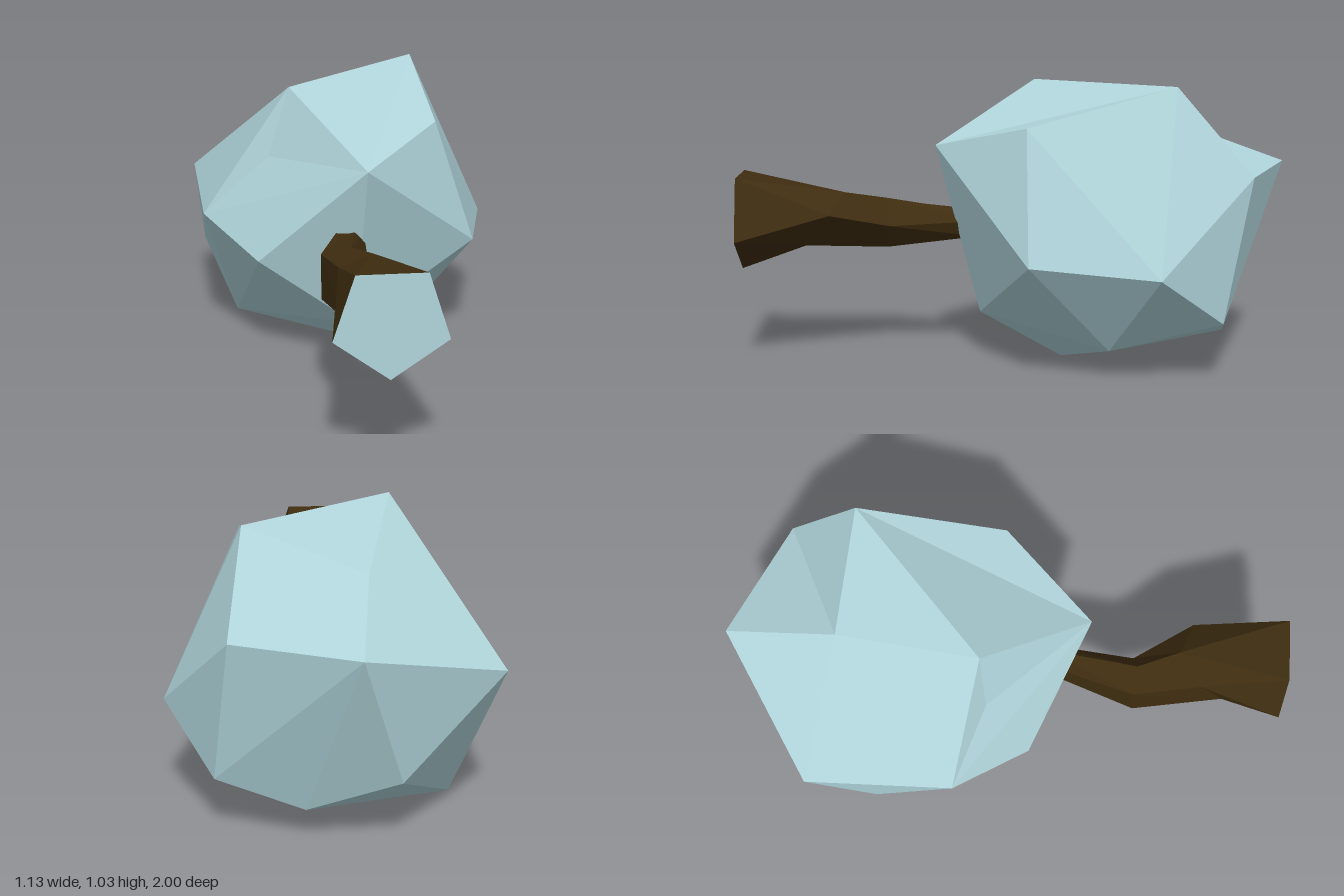
import * as THREE from 'three';
import { ConvexGeometry } from 'three/addons/geometries/ConvexGeometry.js';

const leaf = new THREE.MeshStandardMaterial({ color: 0xb0d5db });
leaf.name = 'paleBlueLeaf';
const bark = new THREE.MeshStandardMaterial({ color: 0x3f2d10 });
bark.name = 'darkBark';

// Corners of the faceted crown: x, y, z and, for dented corners, an outward push
// that is used only to find how the facets join
const crownCorners = [
  [0.025, 0.8, 0.29, 1.2], [-0.22, 1.02, -0.08], [0.29, 1.03, -0.55], [0.31, 0.89, -0.03],
  [0.46, 0.43, -0.03], [0.565, 0.405, -0.47], [0, 0.175, 0.13], [0, 0.004, -0.17],
  [0.32, 0.104, -0.32], [-0.415, 0.03, -0.43], [-0.35, 0.42, 0.1], [-0.54, 0.525, -0.16],
  [-0.568, 0.57, -0.68], [-0.535, 0.335, -0.445], [-0.082, 0.725, -1], [0.335, 0.72, -0.815],
  [0.39, 0.215, -0.71], [0.09, 0.12, -0.755], [-0.22, 0.25, -0.84], [-0.05, 0.013, -0.36],
  [-0.12, 0.873, -0.59, 1.8], [-0.3, 0.77, -0.055, 1.1],
];

function crownGeometry() {
  const centre = new THREE.Vector3(0, 0.55, -0.4);
  const corners = crownCorners.map(([x, y, z]) => new THREE.Vector3(x, y, z));
  const pushed = corners.map((p, i) =>
    p.clone().sub(centre).multiplyScalar(crownCorners[i][3] ?? 1).add(centre));
  const geometry = new ConvexGeometry(pushed);
  // Pull every pushed corner back to its true place
  const pos = geometry.attributes.position;
  const v = new THREE.Vector3();
  for (let i = 0; i < pos.count; i++) {
    v.fromBufferAttribute(pos, i);
    let best = 0;
    pushed.forEach((p, j) => {
      if (p.distanceToSquared(v) < pushed[best].distanceToSquared(v)) best = j;
    });
    pos.setXYZ(i, corners[best].x, corners[best].y, corners[best].z);
  }
  geometry.computeVertexNormals();
  return geometry;
}

// Five-sided trunk rings from the cut end back into the crown
const trunkRings = [
  [[-0.1, 0.695, 1], [0.125, 0.695, 1], [0.195, 0.475, 1], [0.01, 0.347, 1], [-0.17, 0.48, 1]],
  [[-0.12, 0.61, 0.7], [0, 0.625, 0.62], [0.135, 0.56, 0.67], [0.06, 0.44, 0.76], [-0.112, 0.47, 0.79]],
  [[-0.155, 0.57, 0.46], [-0.055, 0.595, 0.47], [0.01, 0.5, 0.46], [-0.06, 0.41, 0.47], [-0.155, 0.412, 0.47]],
  [[-0.06, 0.55, 0.14], [0, 0.55, 0.14], [0.03, 0.52, 0.14], [0.01, 0.46, 0.14], [-0.06, 0.47, 0.14]],
];

function facets(triangles) {
  const geometry = new THREE.BufferGeometry();
  geometry.setAttribute('position', new THREE.Float32BufferAttribute(triangles.flat(), 3));
  geometry.computeVertexNormals();
  return geometry;
}

function addMesh(group, name, geometry, material) {
  const mesh = new THREE.Mesh(geometry, material);
  mesh.name = name;
  group.add(mesh);
}

export function createModel() {
  const group = new THREE.Group();
  group.name = 'fallenTree';

  // Crown
  addMesh(group, 'crown', crownGeometry(), leaf);

  // Trunk sides
  const sides = [];
  for (let i = 0; i < trunkRings.length - 1; i++) {
    const front = trunkRings[i], back = trunkRings[i + 1];
    for (let j = 0; j < 5; j++) {
      const k = (j + 1) % 5;
      sides.push(front[j], front[k], back[k], front[j], back[k], back[j]);
    }
  }
  addMesh(group, 'trunk', facets(sides), bark);

  // Pale cut end of the trunk
  const end = trunkRings[0];
  const cut = [];
  for (let j = 1; j < 4; j++) cut.push(end[0], end[j + 1], end[j]);
  addMesh(group, 'trunkCutEnd', facets(cut), leaf);

  return group;
}
